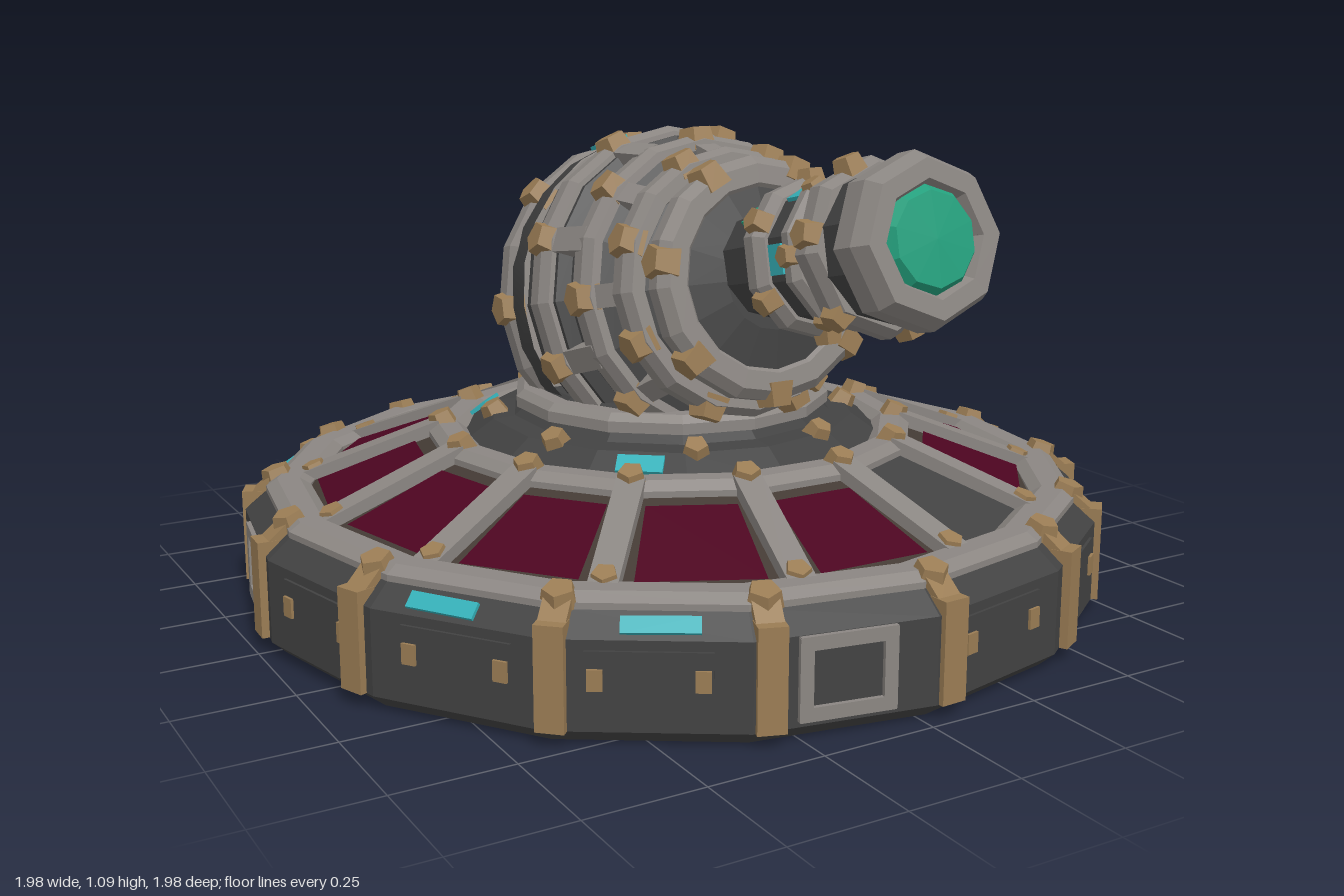
import * as THREE from 'three';

const mat = (name, color) => {
  const m = new THREE.MeshStandardMaterial({ color });
  m.name = name;
  return m;
};
const rad = THREE.MathUtils.degToRad;

// faceted copy of a geometry
const flat = (g) => {
  const f = g.index ? g.toNonIndexed() : g;
  f.computeVertexNormals();
  return f;
};

const lathe = (pts, sides, start = 0, len = Math.PI * 2) =>
  new THREE.LatheGeometry(pts.map(([x, y]) => new THREE.Vector2(x, y)), sides, start, len);

export function createModel() {
  const dark = mat('dark iron', 0x424242);
  const grey = mat('grey steel', 0x8b8682);
  const gold = mat('dull gold', 0x9a7c54);
  const maroon = mat('maroon panel', 0x4c0520);
  const brown = mat('dark brown frame', 0x433a34);
  const cyan = mat('cyan light', 0x34b0b8);
  const green = mat('green lens', 0x24a07d);

  const model = new THREE.Group();
  const group = (name, parent) => {
    const g = new THREE.Group();
    g.name = name;
    parent.add(g);
    return g;
  };
  const base = group('base', model);
  const gun = group('gun', model);
  const head = group('gunHead', gun);

  const add = (parent, name, geo, material) => {
    const m = new THREE.Mesh(geo, material);
    m.name = name;
    parent.add(m);
    return m;
  };
  // chamfered ring around y, resting on height y
  const ring = (parent, name, r, y, w, h, sides, material, start = 0) =>
    add(parent, name, flat(lathe([
      [r - w / 2, y], [r + w / 2, y], [r + w / 2, y + h * 0.6], [r + w / 4, y + h],
      [r - w / 4, y + h], [r - w / 2, y + h * 0.6], [r - w / 2, y],
    ], sides, start)), material);
  // place a mesh at angle a (from +z) around the y axis, facing outward
  const polar = (mesh, a, r, y, tilt = 0) => {
    mesh.position.set(r * Math.sin(a), y, r * Math.cos(a));
    mesh.rotation.set(tilt, a, 0, 'YXZ');
    return mesh;
  };
  const box = (parent, name, w, h, d, material, a, r, y, tilt) =>
    polar(add(parent, name, new THREE.BoxGeometry(w, h, d), material), a, r, y, tilt);
  const nuggetGeo = flat(new THREE.CylinderGeometry(0.75, 1, 1.1, 5));
  const nugget = (parent, s, a, r, y, tilt = 0) =>
    polar(add(parent, 'goldStud', nuggetGeo, gold), a, r, y, tilt).scale.setScalar(s);

  // ---- Base: sixteen-sided rim ----
  const N = 16, step = (Math.PI * 2) / N, off = 0.026;
  add(base, 'rimBody', flat(lathe([
    [0, 0.015], [0.945, 0.015], [0.978, 0.045], [0.978, 0.225], [0.925, 0.27], [0.8, 0.27],
  ], N, off)), dark);
  ring(base, 'rimRing', 0.88, 0.255, 0.1, 0.04, N, grey, off);

  // unevenly spaced gold straps
  for (const deg of [3.5, 28, 47, 69, 91, 114, 137, 165, 185, 202, 220, 245, 268, 291, 317, 341]) {
    const a = rad(deg);
    box(base, 'rimStrap', 0.058, 0.21, 0.045, gold, a, 0.966, 0.15);
    box(base, 'rimStrapTop', 0.055, 0.03, 0.06, gold, a, 0.94, 0.256, 0.7);
    nugget(base, 0.042, a, 0.91, 0.283, 0.3);
  }
  // lights on the rim bevel: [angle, width]
  for (const [deg, w] of [[126, 0.17], [150, 0.17], [231, 0.09], [303, 0.15], [329, 0.15]]) {
    box(base, 'rimLight', w, 0.035, 0.008, cyan, rad(deg), 0.945, 0.25, -0.81);
  }
  // wall details in the middle of each facet
  const rf = 0.978 * Math.cos(step / 2);
  for (let i = 0; i < N; i++) {
    const m = off + (i + 0.5) * step;
    if (i % 4 === 3) {
      for (const s of [-1, 1]) {
        box(base, 'wallFrameRail', 0.2, 0.028, 0.02, grey, m, rf, 0.14 + s * 0.07);
        box(base, 'wallFramePost', 0.028, 0.165, 0.02, grey, m, rf, 0.14).translateX(s * 0.087);
      }
    } else {
      box(base, 'wallPlate', 0.24, 0.13, 0.012, dark, m, rf, 0.14);
      for (const s of [-1, 1]) {
        box(base, 'wallStud', 0.03, 0.042, 0.024, gold, m, rf, 0.15).translateX(s * 0.1);
      }
    }
  }

  // ---- Sloped deck: fourteen panels divided by spokes ----
  const P = 14, pStep = (Math.PI * 2) / P;
  const slope = (r) => 0.265 + (0.84 - r) * 0.375;
  // flat trapezoid on the deck between two distances from the centre
  const deckPlate = (mid, half, rOut, rIn, lift) =>
    flat(lathe([[rOut, slope(rOut) + lift], [rIn, slope(rIn) + lift]]
      .map(([r, y]) => [r / Math.cos(half), y]), 1, mid - half, half * 2));
  for (let i = 0; i < P; i++) {
    const mid = i * pStep;
    add(base, 'panelFrame', deckPlate(mid, pStep / 2, 0.85, 0.48, 0), i === 1 ? dark : brown);
    if (i !== 1) add(base, 'deckPanel', deckPlate(mid, pStep / 2 - 0.066, 0.805, 0.585, 0.007), maroon);
    const a = mid + pStep / 2;
    box(base, 'deckSpoke', 0.06, 0.04, 0.34, grey, a, 0.69, slope(0.69) + 0.012, 0.359);
    nugget(base, 0.034, a, 0.825, 0.293, 0.36);
    nugget(base, 0.036, a, 0.53, 0.408, 0.36);
  }
  ring(base, 'deckInnerRing', 0.52, 0.36, 0.09, 0.045, P, grey, pStep / 2);

  // ---- Collar under the head ----
  add(base, 'collar', flat(lathe([
    [0.5, 0.375], [0.42, 0.43], [0.37, 0.435], [0.33, 0.47], [0.3, 0.5], [0, 0.5],
  ], P)), dark);
  ring(base, 'collarRing', 0.33, 0.455, 0.07, 0.04, P, grey);
  for (let i = 0; i < 8; i++) nugget(base, 0.034, (i + 0.5) * Math.PI / 4, 0.41, 0.435, 0.5);
  for (const deg of [143, 229, 322]) {
    box(base, 'collarLight', 0.1, 0.045, 0.009, cyan, rad(deg), 0.452, 0.414, -0.97);
  }

  // ---- Gun: local y is the firing axis, tilted slightly up; local +z is its underside ----
  gun.position.set(0, 0.73, 0);
  gun.rotation.x = Math.PI / 2 - 0.22;
  head.position.z = 0.028;

  // smooth rear dome
  const dome = [];
  for (let i = 0; i <= 10; i++) {
    const t = (i / 10) * Math.PI / 2;
    dome.push([0.365 * Math.sin(t), -0.02 - 0.39 * Math.cos(t)]);
  }
  add(head, 'rearDome', lathe(dome, 24), dark);
  // stepped front shell
  add(head, 'frontShell', flat(lathe([
    [0.32, -0.1], [0.355, -0.02], [0.345, 0.1], [0.315, 0.11], [0.3, 0.22], [0.27, 0.23],
    [0.25, 0.32], [0.225, 0.33], [0.2, 0.41], [0.11, 0.43], [0, 0.43],
  ], 16)), dark);

  // bands with studs: [position, radius, thickness, length, studs]
  const bands = [
    [-0.15, 0.338, 0.06, 0.06, 8], [0.03, 0.342, 0.06, 0.06, 8], [0.16, 0.305, 0.06, 0.06, 8],
    [0.265, 0.262, 0.06, 0.06, 8], [0.365, 0.22, 0.08, 0.055, 7],
  ];
  bands.forEach(([t, r, w, h, n], k) => {
    ring(head, 'headBand', r, t, w, h, 16, grey);
    for (let i = 0; i < n; i++) {
      const a = ((i + (k % 2) * 0.5) / n) * Math.PI * 2;
      nugget(head, 0.047, a, r + w * 0.3, t + h * 0.4, Math.PI / 2);
    }
  });
  // ribs joining the bands
  for (let i = 0; i < 8; i++) {
    const a = (i + 0.5) * Math.PI / 4;
    box(head, 'headRib', 0.055, 0.12, 0.05, grey, a, 0.32, 0.125, -0.2);
    box(head, 'headRibFront', 0.05, 0.12, 0.05, grey, a + Math.PI / 8, 0.272, 0.24, -0.42);
  }
  // lights on the smooth part of the head
  for (const deg of [121, 196]) {
    box(head, 'headLight', 0.065, 0.065, 0.009, cyan, rad(deg), 0.367, -0.035);
  }
  // rear dome studs
  for (let i = 0; i < 6; i++) {
    nugget(head, 0.05, ((i + 0.5) / 6) * Math.PI * 2, 0.262, -0.285, Math.PI / 2 + 0.75);
  }

  // ---- Barrel ----
  add(gun, 'barrel', flat(lathe([
    [0.115, 0.4], [0.12, 0.58], [0.14, 0.6], [0.14, 0.71], [0.12, 0.73],
    [0.12, 0.77], [0.15, 0.8], [0.15, 0.94], [0.11, 0.975],
  ], 10)), dark);
  ring(gun, 'barrelBand', 0.13, 0.585, 0.07, 0.05, 10, grey);
  ring(gun, 'barrelBand', 0.125, 0.705, 0.06, 0.035, 10, grey);
  ring(gun, 'muzzleBand', 0.145, 0.785, 0.06, 0.055, 8, grey);
  ring(gun, 'muzzleRing', 0.13, 0.9, 0.075, 0.085, 8, grey);
  for (let i = 0; i < 6; i++) {
    const a = (i / 6) * Math.PI * 2;
    nugget(gun, 0.033, a, 0.158, 0.61, Math.PI / 2);
    nugget(gun, 0.028, a + 0.5, 0.148, 0.72, Math.PI / 2);
    nugget(gun, 0.036, a + 0.3, 0.165, 0.81, Math.PI / 2);
  }
  for (const deg of [85, 140, 205, 270]) {
    box(gun, 'barrelLight', 0.06, 0.045, 0.009, cyan, rad(deg), 0.139, 0.67);
  }
  box(gun, 'barrelGreenLight', 0.05, 0.05, 0.009, green, rad(214), 0.119, 0.5);
  // green lens in the muzzle
  add(gun, 'muzzleLens', flat(lathe([[0.105, 0.965], [0.09, 0.985], [0, 0.99]], 10)), green);

  return model;
}
